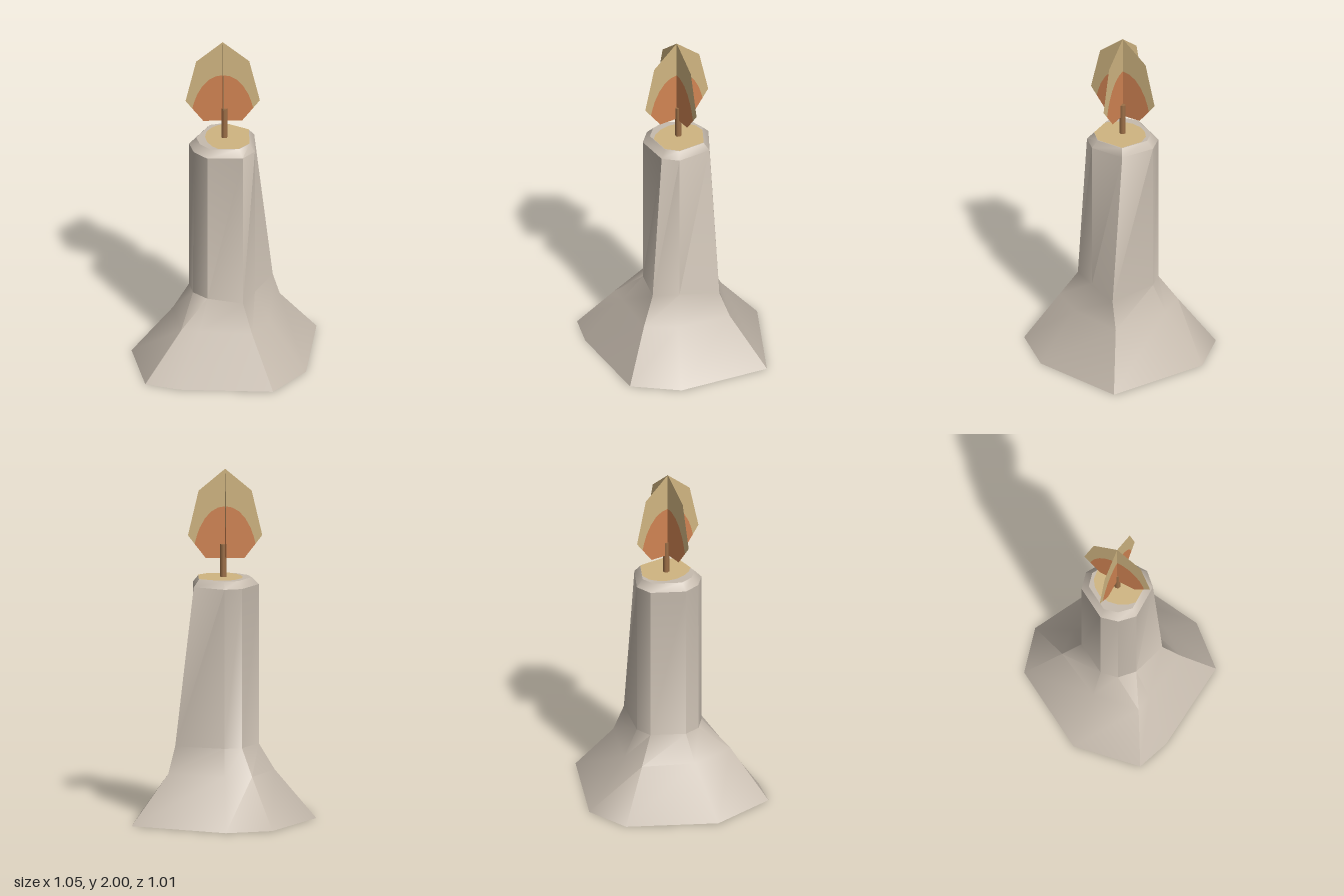
import * as THREE from 'three';
import { toCreasedNormals } from 'three/addons/utils/BufferGeometryUtils.js';

const mat = (name, color, side = THREE.DoubleSide) => {
  const m = new THREE.MeshStandardMaterial({ color, side });
  m.name = name;
  return m;
};

// Cross-sections of the candle from floor to rim: height, then eight x/z corners
const SECTIONS = [
  [0, [[0, -0.51], [0.525, -0.245], [0.455, 0.28], [0.265, 0.505], [-0.265, 0.47], [-0.455, 0.405], [-0.525, 0.015], [-0.265, -0.44]]],
  [0.28, [[0, -0.27], [0.315, -0.13], [0.255, 0.18], [0.15, 0.34], [-0.15, 0.3], [-0.25, 0.285], [-0.29, 0.015], [-0.155, -0.255]]],
  [0.43, [[0, -0.185], [0.275, -0.085], [0.17, 0.115], [0.1, 0.25], [-0.1, 0.19], [-0.18, 0.115], [-0.2, 0.015], [-0.1, -0.16]]],
  [1.34, [[0, -0.185], [0.17, -0.085], [0.17, 0.115], [0.1, 0.19], [-0.1, 0.19], [-0.175, 0.115], [-0.2, 0.015], [-0.1, -0.16]]],
  [1.38, [[0, -0.145], [0.14, -0.065], [0.14, 0.095], [0.08, 0.155], [-0.08, 0.155], [-0.14, 0.095], [-0.16, 0.015], [-0.08, -0.125]]],
];

// Skin the sections; the underside stays open
function loft(sections) {
  const n = sections[0][1].length, pos = [], idx = [];
  for (const [y, ring] of sections) for (const [x, z] of ring) pos.push(x, y, z);
  for (let s = 0; s < sections.length - 1; s++) {
    for (let i = 0; i < n; i++) {
      const a = s * n + i, b = s * n + (i + 1) % n;
      idx.push(b, a, a + n, b, a + n, b + n);
    }
  }
  const g = new THREE.BufferGeometry();
  g.setAttribute('position', new THREE.Float32BufferAttribute(pos, 3));
  g.setIndex(idx);
  return toCreasedNormals(g, 0.7);
}

const polygon = (pts) =>
  new THREE.ShapeGeometry(new THREE.Shape(pts.map(([x, y]) => new THREE.Vector2(x, y))));

// Flat polygon facing up, given as x/z corners
const floorPolygon = (pts, y) =>
  polygon(pts.map(([x, z]) => [x, -z])).rotateX(-Math.PI / 2).translate(0, y, 0);

// Closed outline from its right half, mirrored across x = 0
const mirrored = (half) => [
  ...half,
  ...half.slice().reverse().filter(([x]) => x > 0).map(([x, y]) => [-x, y]),
];

export function createModel() {
  const wax = mat('wax', 0xc6bbae);
  const amber = mat('amber', 0xd0b581);
  const orange = mat('orange', 0xd18453);
  const wickBrown = mat('wickBrown', 0x9c6f47, THREE.FrontSide);

  const group = new THREE.Group();
  group.name = 'candle';
  const add = (name, geometry, material, parent = group) => {
    const mesh = new THREE.Mesh(geometry, material);
    mesh.name = name;
    parent.add(mesh);
    return mesh;
  };

  // Column with flared, melted foot and bevelled rim
  add('candleBody', loft(SECTIONS), wax);
  const rim = SECTIONS[4][1];
  add('topSurface', floorPolygon(rim, 1.38), wax);

  // Glowing pool of wax, rounded on the left and cut by the rim on the right
  add('meltedPool', floorPolygon([
    [0.03, -0.127], rim[1], rim[2], rim[3], [-0.04, 0.155], [-0.075, 0.12], [-0.1, 0.07],
    [-0.11, 0.015], [-0.1, -0.045], [-0.07, -0.09], [-0.03, -0.12],
  ], 1.383), amber);

  // Wick
  const wick = add('wick', new THREE.CylinderGeometry(0.018, 0.018, 0.19, 8), wickBrown);
  wick.position.set(0, 1.475, 0.016);

  // Flame: two crossed sheets, each an orange core inside an amber outline
  const arch = [[0.172, 1.57], [0.162, 1.61], [0.145, 1.66], [0.115, 1.715], [0.08, 1.755], [0.04, 1.778], [0, 1.785]];
  const core = polygon(mirrored([[0.11, 1.49], ...arch]));
  const archAcross = mirrored(arch);
  const outer = polygon([
    ...mirrored([[0.21, 1.62], [0.15, 1.875], [0, 2]]),
    ...archAcross.slice().reverse(),
  ]);
  const flame = new THREE.Group();
  flame.name = 'flame';
  flame.position.set(-0.01, 0, 0.02);
  group.add(flame);
  for (const [i, turn] of [0, Math.PI / 2].entries()) {
    add('flameOuter' + (i + 1), outer, amber, flame).rotation.y = turn;
    add('flameCore' + (i + 1), core, orange, flame).rotation.y = turn;
  }
  return group;
}
